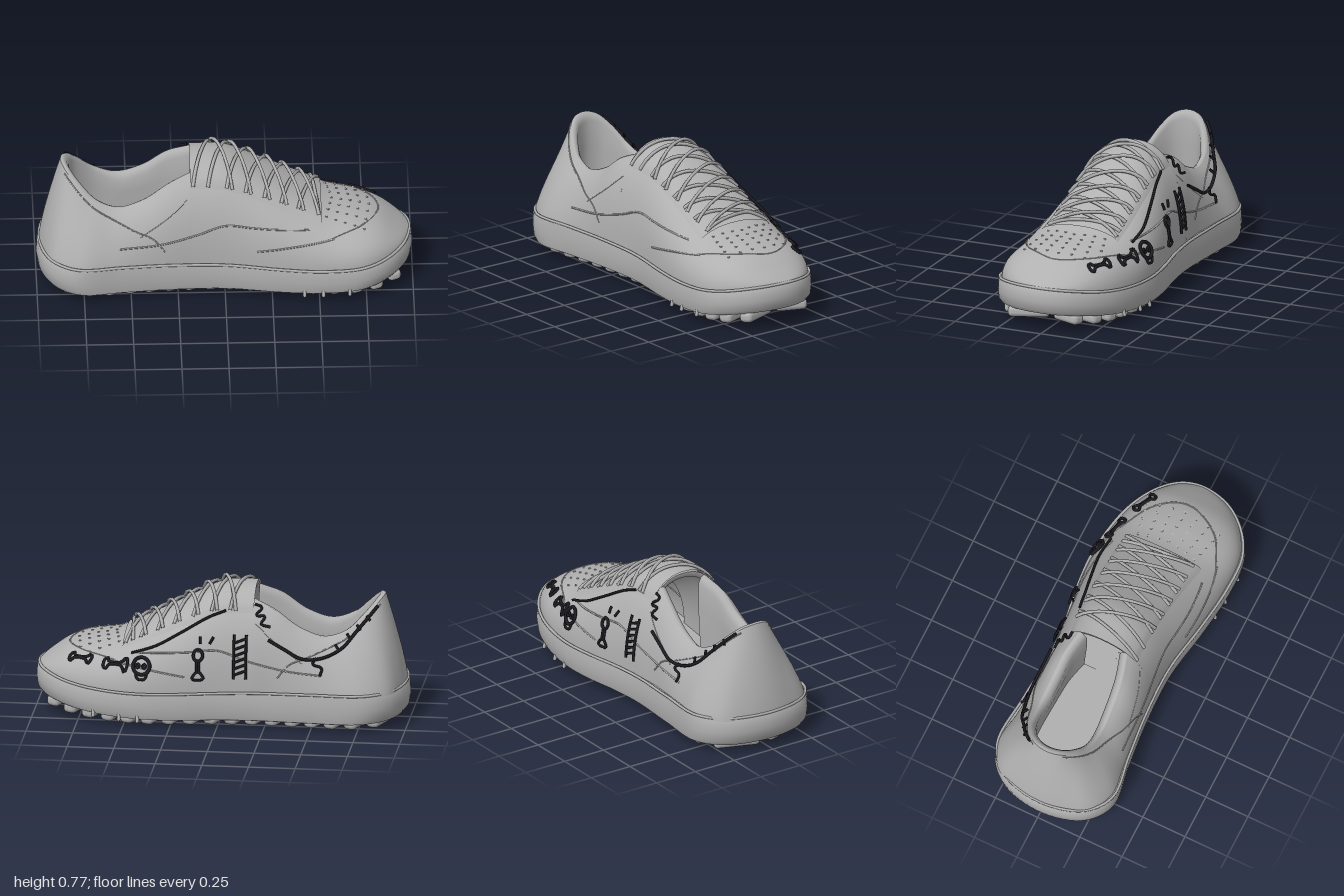
import * as THREE from 'three';
import { toCreasedNormals } from 'three/addons/utils/BufferGeometryUtils.js';
import { RoundedBoxGeometry } from 'three/addons/geometries/RoundedBoxGeometry.js';

const V = (x, y, z) => new THREE.Vector3(x, y, z);

// Smooth function through [x, value] pairs
function smooth(p) {
  const slope = (i) => {
    const a = p[Math.max(i - 1, 0)], b = p[Math.min(i + 1, p.length - 1)];
    return (b[1] - a[1]) / (b[0] - a[0]);
  };
  return (x) => {
    x = Math.min(Math.max(x, p[0][0]), p[p.length - 1][0]);
    let i = 0;
    while (i < p.length - 2 && x > p[i + 1][0]) i++;
    const d = p[i + 1][0] - p[i][0], t = (x - p[i][0]) / d, t2 = t * t, t3 = t2 * t;
    return p[i][1] * (2 * t3 - 3 * t2 + 1) + p[i + 1][1] * (3 * t2 - 2 * t3)
      + d * (slope(i) * (t3 - 2 * t2 + t) + slope(i + 1) * (t3 - t2));
  };
}

// Surface through rows of equally many points
function loft(rows) {
  const n = rows[0].length, index = [];
  for (let i = 0; i < rows.length - 1; i++) for (let j = 0; j < n - 1; j++) {
    const a = i * n + j;
    index.push(a, a + 1, a + n, a + 1, a + n + 1, a + n);
  }
  const g = new THREE.BufferGeometry().setFromPoints(rows.flat());
  g.setIndex(index);
  g.computeVertexNormals();
  return g;
}

export function createModel() {
  const group = new THREE.Group();
  const mat = (name, color) => {
    const m = new THREE.MeshStandardMaterial({ color, side: THREE.DoubleSide });
    m.name = name;
    return m;
  };
  const grey = mat('shoe grey', 0xb0b0b0), ink = mat('ink black', 0x1c1c22);
  const add = (name, geo, m = grey) => {
    const mesh = new THREE.Mesh(geo, m);
    mesh.name = name;
    group.add(mesh);
    return mesh;
  };

  // Footprint and lengthwise profiles
  const plan = [[1, 0], [.97, .16], [.88, .285], [.75, .36], [.55, .367], [.3, .337], [0, .29], [-.3, .295],
    [-.55, .32], [-.8, .345], [-.94, .24], [-1, 0], [-.94, -.24], [-.8, -.35], [-.5, -.34], [-.2, -.322],
    [0, -.335], [.2, -.365], [.4, -.378], [.6, -.355], [.75, -.31], [.88, -.23], [.97, -.12]];
  const outline = new THREE.CatmullRomCurve3(plan.map(([x, z]) => V(x, 0, z)), true).getPoints(160);
  const soleTop = smooth([[-1, .21], [-.5, .2], [.1, .188], [.5, .185], [.8, .208], [1, .245]]);
  const soleBottom = smooth([[-1, .05], [-.6, .042], [0, .04], [.4, .042], [.7, .06], [1, .1]]);
  const crest = smooth([[-.18, .72], [0, .708], [.2, .605], [.4, .497], [.55, .432], [.7, .402], [.82, .365],
    [.92, .3], [.985, .25]]);
  const base = (x) => soleTop(x) - .01;
  const edge = (x, side) => {
    let best = 0;
    for (let i = 0; i < 160; i++) {
      const a = outline[i], b = outline[i + 1], ax = a.x * .985, bx = b.x * .985;
      if ((ax - x) * (bx - x) > 0 || ax === bx) continue;
      const z = a.z + (b.z - a.z) * (x - ax) / (bx - ax);
      if (z * side > best * side) best = z;
    }
    return best * .955;
  };
  const P = 2.3;
  const section = (x) => {
    const a = edge(x, 1), b = edge(x, -1);
    return { c: (a + b) / 2, w: (a - b) / 2, y: base(x), h: crest(x) - base(x) };
  };
  const surfaceY = (x, z) => {
    const s = section(x), k = Math.min(Math.abs(z - s.c) / s.w, 1);
    return s.y + s.h * (1 - k ** P) ** (1 / P);
  };

  // Sole wall with rounded lower edge, and its underside
  const rim = (k, y) => outline.map((p) => V(p.x * k, y(p.x), p.z * k));
  const mid = (t) => (x) => soleBottom(x) + (soleTop(x) - soleBottom(x)) * t;
  const soleRows = [rim(0, soleTop), rim(.94, soleTop), rim(.985, soleTop), rim(.996, mid(.9)), rim(1, mid(.5)),
    rim(.993, mid(.18)), rim(.975, mid(.03)), rim(.94, soleBottom), rim(.6, soleBottom), rim(.3, soleBottom)];
  soleRows.push(rim(0, soleBottom));
  add('sole', toCreasedNormals(loft(soleRows), .7));
  const weltPath = new THREE.CatmullRomCurve3(rim(.985, (x) => soleTop(x) + .003).slice(0, -1), true);
  add('welt', new THREE.TubeGeometry(weltPath, 200, .008, 6, true));

  // Tread bars in two mirrored slanted rows
  for (const side of [1, -1]) for (let i = 0; i < 17; i++) {
    const x = -.86 + i * .108, reach = Math.abs(edge(x, side)) - .03;
    const inner = .015, len = Math.max(reach - inner, .08);
    const bar = add('treadBar', new RoundedBoxGeometry(.075, .06, len, 3, .025));
    bar.position.set(x, soleBottom(x) - .01, side * (inner + len / 2));
    bar.rotation.set(0, side * .35, x > .4 ? (x - .4) * .2 : 0);
  }
  // Small grip nubs climbing the sole edge
  for (const side of [1, -1]) for (const x of [.42, .52, .66]) {
    const nub = add('gripNub', new THREE.CapsuleGeometry(.01, .045, 3, 8));
    nub.position.set(x, soleBottom(x) + .015, edge(x, side) * 1.02);
    nub.rotation.x = -side * .25;
  }

  // Forefoot, starting from a folded-in tongue edge
  const vampRow = (x, inset = 0) => {
    const s = section(x), row = [];
    for (let j = 0; j <= 48; j++) {
      const t = Math.PI * j / 48, c = Math.cos(t);
      row.push(V(x, s.y + (s.h - inset) * Math.max(Math.sin(t), 0) ** (2 / P),
        s.c + (s.w - inset) * Math.sign(c) * Math.abs(c) ** (2 / P)));
    }
    return row;
  };
  const vampRows = [vampRow(.25, .03), vampRow(0, .03), vampRow(-.17, .03), vampRow(-.18, .015)];
  for (let i = 0; i <= 50; i++) vampRows.push(vampRow(-.18 + 1.163 * Math.sin(i / 50 * Math.PI / 2)));
  const vamp = add('forefoot', toCreasedNormals(loft(vampRows), 1));

  // Heel and quarters: wall swept from the footprint up to the collar
  const s0 = section(-.18), r0 = (.672 - s0.y) / s0.h, bow = (r) => 1 - (1 - r ** P) ** (1 / P);
  const collarZ = s0.w * (1 - bow(r0));
  const half = [[-.3, .62, .158, -.3, .285], [-.43, .53, .168, -.45, .297], [-.57, .487, .172, -.6, .314],
    [-.7, .53, .16, -.77, .332], [-.79, .61, .12, -.91, .262], [-.85, .672, .06, -.967, .125]];
  const path = [[-.18, .672, collarZ + s0.c, -.18, s0.c + s0.w], ...half, [-.87, .69, -.015, -.985, 0],
    ...half.map(([a, b, c, d, e]) => [a, b, -c - .03, d, -e - .015]).reverse(),
    [-.18, .672, s0.c - collarZ, -.18, s0.c - s0.w]];
  const collar = new THREE.CatmullRomCurve3(path.map((p) => V(p[0], p[1], p[2]))).getPoints(140);
  const foot = new THREE.CatmullRomCurve3(path.map((p) => V(p[3], base(p[3]), p[4]))).getPoints(140);
  const heelRows = [];
  for (let i = 0; i <= 20; i++) {
    const s = i / 20;
    heelRows.push(collar.map((t, j) => {
      const b = foot[j], g = THREE.MathUtils.smoothstep(t.x, -.85, -.18);
      const f = THREE.MathUtils.lerp(s ** 1.25, bow(s * r0) / bow(r0), g);
      return V(b.x + (t.x - b.x) * f, b.y + (t.y - b.y) * s, b.z + (t.z - b.z) * f);
    }));
  }
  const heel = add('heelAndQuarters', loft(heelRows));

  // Padded collar roll and lining down to the insole
  const lining = (d, y) => collar.map((p) => {
    const c = V(Math.max(p.x, -.5), 0, -.025), o = V(p.x - c.x, 0, p.z - c.z).normalize();
    return V(p.x - o.x * d, y(p), p.z - o.z * d);
  });
  add('collarLining', loft([collar, lining(.012, (p) => p.y + .005), lining(.03, (p) => p.y - .006),
    lining(.045, (p) => p.y - .04), lining(.045, (p) => p.y * .6 + .09), lining(.03, () => .21)]));
  add('insole', loft([lining(.02, () => .215), lining(.02, () => .215).reverse()]));

  // Lace panel lying over the instep
  const panelRows = [];
  for (let i = 0; i <= 24; i++) {
    const x = -.185 + .7 * i / 24, halfWidth = .2 + .03 * i / 24, c = section(x).c, row = [];
    for (let j = 0; j <= 24; j++) {
      const z = c + halfWidth * (j / 12 - 1);
      row.push(V(x, surfaceY(x, z) + (j % 24 ? .012 : -.004), z));
    }
    panelRows.push(row);
  }
  add('lacePanel', loft(panelRows));

  // Criss-cross laces
  const holes = [-.09, .01, .11, .21, .3, .39, .47];
  const lace = (xa, xb, side, lift) => {
    const pts = [];
    for (let j = 0; j <= 14; j++) {
      const t = j / 14, x = xa + (xb - xa) * t, z = -.018 + side * .2 * (1 - 2 * t);
      pts.push(V(x, surfaceY(x, z) + .014 + lift * Math.sin(Math.PI * t) ** .5, z));
    }
    add('lace', new THREE.TubeGeometry(new THREE.CatmullRomCurve3(pts), 28, .0095, 6));
  };
  for (let i = 0; i < holes.length - 1; i++) for (const side of [1, -1])
    lace(holes[i], holes[i + 1] + .03, side, side > 0 ? .014 : .028);
  lace(-.17, -.06, 1, .012);
  lace(.46, .5, -1, .012);

  // Strokes projected onto the upper from the side (x, y) or from above (x, z)
  const ray = new THREE.Raycaster();
  const project = (a, b, dir) => {
    if (dir) ray.set(V(a, b, dir * 2), V(0, 0, -dir));
    else ray.set(V(a, 2, b), V(0, -1, 0));
    const hit = ray.intersectObjects([vamp, heel])[0];
    return hit && hit.point;
  };
  const stroke = (name, pts, dir, r, m, closed = false, lift = V(0, 0, 0)) => {
    const curve = new THREE.CatmullRomCurve3(pts.map(([a, b]) => V(a, b, 0)), closed);
    const n = Math.max(4, Math.ceil(curve.getLength() / .018));
    const on = curve.getSpacedPoints(n).map((p) => project(p.x, p.y, dir)).filter(Boolean);
    if (closed) on.pop();
    on.forEach((p) => p.add(lift));
    if (on.length > 1) add(name, new THREE.TubeGeometry(new THREE.CatmullRomCurve3(on, closed), n * 2, r, 5, closed), m);
  };

  // Stitched seams on both flanks and around the toe cap
  for (const side of [1, -1]) {
    stroke('heelSeam', [[-.85, .65], [-.7, .5], [-.5, .4], [-.38, .35], [-.32, .28]], side, .004, grey);
    stroke('flankSeam', [[-.56, .3], [-.35, .32], [-.15, .37], [0, .42], [.15, .41], [.45, .39]], side, .005, grey);
    stroke('frontSeam', [[.17, .28], [.4, .32], [.58, .345]], side, .005, grey);
    stroke('quarterSeam', [[-.45, .36], [-.3, .47], [-.2, .56]], side, .002, grey);
  }
  stroke('toeCapSeam', [[.55, .29], [.72, .2], [.8, .08], [.82, 0], [.8, -.08], [.72, -.18], [.55, -.28]], 0, .004, grey);

  // Toe perforations, fanning out toward the sides
  for (let i = 0; i < 5; i++) for (let j = -3; j <= 3; j++) {
    const x = .57 + i * .05 - Math.abs(j) * .01, z = j * (.055 + i * .004), p = project(x, z, 0);
    if (p) add('perforation', new THREE.CylinderGeometry(.007, .007, .008, 8)).position.copy(p);
  }

  // Drawings standing slightly proud of the far flank
  const draw = (name, pts, closed, r = .0075) => stroke(name, pts, -1, r, ink, closed, V(0, .005, -.015));
  const ring = (x, y, rx, ry = rx) => [0, 1, 2, 3, 4, 5, 6, 7].map((i) =>
    [x + rx * Math.cos(i * Math.PI / 4), y + ry * Math.sin(i * Math.PI / 4)]);
  draw('vine', [[-.84, .645], [-.74, .53], [-.66, .44], [-.56, .39], [-.45, .385], [-.36, .43], [-.27, .48]], false, .009);
  draw('vineTail', [[-.53, .39], [-.51, .36], [-.56, .34], [-.55, .3]]);
  for (const x of [-.8, -.75, -.7, -.64]) draw('thorn', [[x - .005, .575 - (x + .8) * .9], [x + .015, .6 - (x + .8) * .9]]);
  draw('squiggle', [[-.19, .65], [-.23, .635], [-.2, .6], [-.25, .595], [-.23, .56], [-.28, .545]]);
  draw('arch', [[-.04, .62], [.05, .585], [.2, .5], [.33, .43], [.46, .385]]);
  for (const x of [-.155, -.09]) draw('ladderRail', [[x, .27], [x, .505]]);
  for (let i = 0; i < 6; i++) draw('ladderRung', [[-.155, .315 + i * .034], [-.09, .29 + i * .034]]);
  draw('keyBow', ring(.1, .395, .024, .03), true, .009);
  for (const x of [.093, .107]) draw('keyStem', [[x, .365], [x, .3]]);
  draw('keyFoot', [[.1, .31], [.07, .27], [.1, .265], [.13, .27]], true);
  for (const x of [.04, .09]) draw('spark', [[x, .455], [x - .02 + (x - .04) * .4, .49]]);
  draw('skull', ring(.4, .33, .045, .042), true, .01);
  for (const x of [.385, .42]) draw('skullEye', ring(x, .33, .01), true);
  draw('skullJaw', [[.37, .295], [.38, .265], [.42, .265], [.43, .295]]);

  // Two bone outlines on the toe, placed from above and turned along its edge
  const boneShape = [[.04, .008], [.052, .024], [.066, .01], [.066, -.01], [.052, -.024], [.04, -.008]];
  const boneLoop = [...boneShape, ...boneShape.map(([a, b]) => [-a, -b])];
  for (const [x, z, turn] of [[.545, -.298, .25], [.74, -.222, .47]]) {
    const c = Math.cos(turn), s = Math.sin(turn);
    const pts = boneLoop.map(([a, b]) => [x + a * c - b * s, z + a * s + b * c]);
    stroke('bone', pts, 0, .0085, ink, true, V(0, .006, -.004));
  }
  return group;
}
